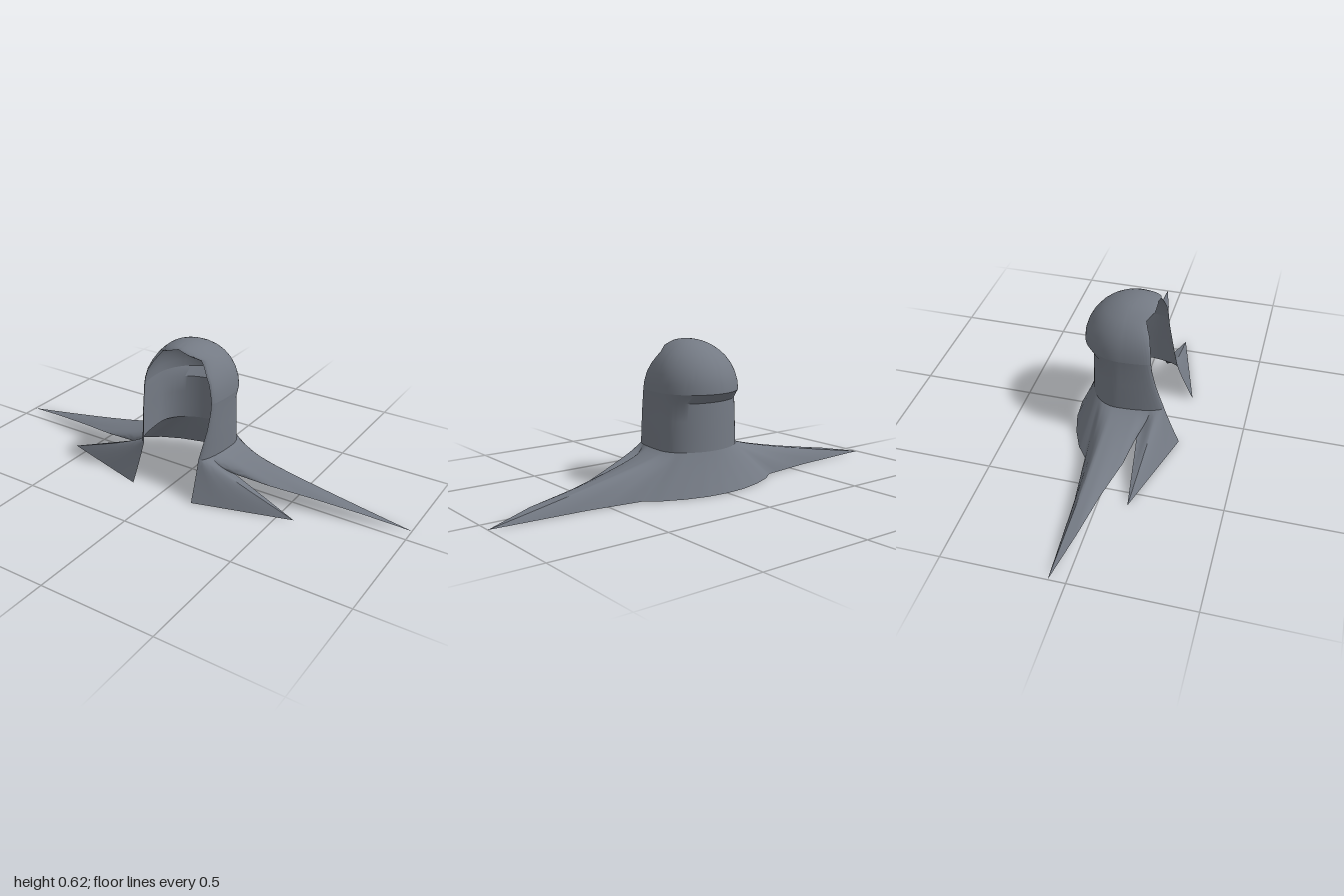
import * as THREE from 'three';
import { toCreasedNormals } from 'three/addons/utils/BufferGeometryUtils.js';

const RIBS = 13;
const COLS = RIBS * 4; // columns per half, from back centre to front edge

// Skin a grid of points, mirrored across x; rows run from bottom to top
function loft(rowCount, pointAt, crease) {
  const pos = [], index = [];
  const width = COLS * 2 + 1;
  for (let r = 0; r < rowCount; r++) {
    for (let c = -COLS; c <= COLS; c++) {
      const [x, y, z] = pointAt(r, Math.abs(c) / COLS);
      pos.push(c < 0 ? -x : x, y, z);
    }
  }
  for (let r = 0; r < rowCount - 1; r++) {
    for (let c = 0; c < width - 1; c++) {
      const a = r * width + c, b = a + 1, d = a + width, e = d + 1;
      // mirror the diagonals as well
      if (c < COLS) index.push(a, d, e, a, e, b);
      else index.push(a, d, b, b, d, e);
    }
  }
  const g = new THREE.BufferGeometry();
  g.setAttribute('position', new THREE.Float32BufferAttribute(pos, 3));
  g.setIndex(index);
  return toCreasedNormals(g, crease);
}

// Horizontal section: back arc to the widest side, then curling in to the face opening
function section([y, zBack, half, zSide, xFront, zFront], v) {
  const a = v * Math.PI;
  if (v <= 0.5) return [half * Math.sin(a), y, zSide + (zBack - zSide) * Math.cos(a)];
  const u = a - Math.PI / 2;
  return [xFront + (half - xFront) * Math.cos(u), y, zSide + (zFront - zSide) * Math.sin(u)];
}

// y, back z, half width, side z, front edge x, front edge z
const neckRows = [
  [0.17, -0.172, 0.19, -0.03, 0.14, 0.168],
  [0.23, -0.171, 0.19, -0.026, 0.15, 0.152],
  [0.30, -0.170, 0.19, -0.022, 0.162, 0.135],
  [0.375, -0.168, 0.188, -0.018, 0.168, 0.12],
  [0.415, -0.207, 0.19, -0.017, 0.168, 0.115],
];
const domeRows = [
  neckRows[4],
  [0.45, -0.204, 0.187, -0.016, 0.163, 0.113],
  [0.49, -0.191, 0.177, -0.014, 0.152, 0.107],
  [0.525, -0.172, 0.162, -0.01, 0.132, 0.099],
  [0.555, -0.147, 0.142, -0.005, 0.112, 0.085],
  [0.575, -0.124, 0.123, 0, 0.095, 0.078],
  [0.595, -0.092, 0.098, 0.006, 0.055, 0.104],
  [0.608, -0.063, 0.075, 0.011, 0.015, 0.106],
  [0.613, -0.048, 0.063, 0.014, 0, 0.104],
  [0.618, -0.03, 0.049, 0.018, 0, 0.09],
  [0.623, -0.003, 0.027, 0.023, 0, 0.06],
  [0.625, 0.03, 0, 0.03, 0, 0.03],
];

// Outer edge of the skirt from back centre round the long wing and the front flap
const hem = [
  [0, 0, -0.245], [0.1, 0, -0.237], [0.2, 0, -0.21], [0.29, 0, -0.17],
  [0.35, 0, -0.125], [0.6, 0, -0.093], [1, 0, -0.07], // wing tip
  [0.8, 0.037, -0.02], [0.6, 0.06, 0.018], [0.42, 0.085, 0.065],
  [0.27, 0.1, 0.082], // notch
  [0.57, 0, 0.12], // flap tip
  [0.36, 0, 0.18], [0.15, 0, 0.24],
].map((p) => new THREE.Vector3(...p));

// Each skirt rib sweeps from the neck down to the hem in a concave curve
function skirtPoint(s, v) {
  const root = new THREE.Vector3(...section(neckRows[0], v));
  const i = Math.min(RIBS - 1, Math.floor(v * RIBS + 1e-6));
  const out = hem[i].clone().lerp(hem[i + 1], v * RIBS - i);
  const d = Math.hypot(out.x - root.x, out.z - root.z);
  const ctrl = root.clone().lerp(out, Math.min(0.06, 0.35 * d) / d);
  ctrl.y = Math.max(0.09 + 0.04 * Math.min(1, d / 0.3), out.y + 0.02);
  return new THREE.QuadraticBezierCurve3(root, ctrl, out).getPoint(s).toArray();
}

export function createModel() {
  const model = new THREE.Group();
  model.name = 'hoodWithWingedSkirt';
  const slate = new THREE.MeshStandardMaterial({ color: 0x747a84, side: THREE.DoubleSide });
  slate.name = 'slateGrey';

  const add = (name, geometry) => {
    const mesh = new THREE.Mesh(geometry, slate);
    mesh.name = name;
    model.add(mesh);
  };

  add('neckGuard', loft(neckRows.length, (r, v) => section(neckRows[r], v), 0.6));
  add('dome', loft(domeRows.length, (r, v) => section(domeRows[r], v), 0.8));

  const steps = 12;
  add('wingedSkirt', loft(steps + 1, (r, v) => skirtPoint(1 - r / steps, v), 0.8));
  return model;
}
